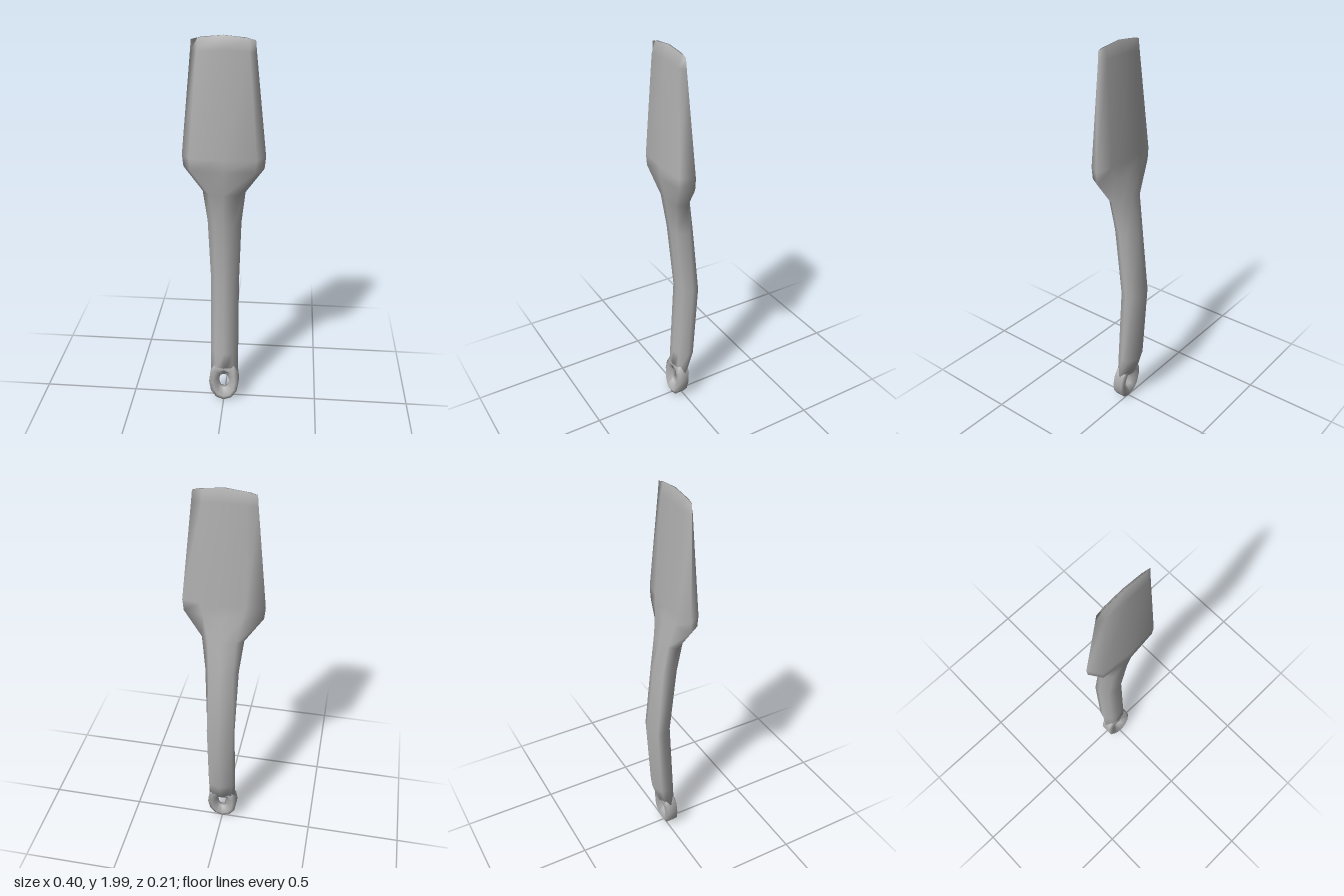
import * as THREE from 'three';

// Skins a list of closed rings of [x, y, z] points with smooth normals.
function skin(rings, closed) {
  const n = rings[0].length, m = rings.length, index = [];
  for (let i = 0; i < (closed ? m : m - 1); i++) {
    for (let j = 0; j < n; j++) {
      const k = (j + 1) % n, up = ((i + 1) % m) * n;
      const a = i * n + j, b = i * n + k, c = up + k, d = up + j;
      index.push(a, b, c, a, c, d);
    }
  }
  if (!closed) {
    const top = (m - 1) * n;
    for (let j = 1; j < n - 1; j++) index.push(0, j + 1, j, top, top + j, top + j + 1);
  }
  const geo = new THREE.BufferGeometry();
  geo.setAttribute('position', new THREE.Float32BufferAttribute(rings.flat(2), 3));
  geo.setIndex(index);
  geo.computeVertexNormals();
  return geo;
}

// Mirrored eight-point section: front middle, front shoulder, edge, back shoulder, back middle.
function section([y, front, fx, fz, w, ez, bx, bz, back, drop = 0]) {
  const half = [[fx, fz], [w, ez], [bx, bz]];
  const loop = [[0, front], ...half, [0, back], ...half.slice().reverse().map(([x, z]) => [-x, z])];
  return loop.map(([x, z]) => [x, y - drop * (x / w) ** 2, z]);
}

export function createModel() {
  const group = new THREE.Group();
  group.name = 'spatula';
  const grey = new THREE.MeshStandardMaterial({ color: 0xb0b0b0 });
  grey.name = 'grey';
  const add = (name, geo) => {
    const mesh = new THREE.Mesh(geo, grey);
    mesh.name = name;
    group.add(mesh);
  };

  // Curved handle flowing into the wide, thinning blade
  const rows = [
    [0.18, 0.042, 0.045, 0.036, 0.074, 0.003, 0.053, -0.02, -0.031],
    [0.30, 0.037, 0.045, 0.030, 0.074, -0.015, 0.064, -0.05, -0.074],
    [0.71, 0.016, 0.045, 0.008, 0.073, -0.040, 0.068, -0.075, -0.105],
    [1.07, 0.050, 0.050, 0.043, 0.085, -0.010, 0.062, -0.042, -0.063],
    [1.24, 0.077, 0.070, 0.063, 0.105, 0.015, 0.070, -0.018, -0.028],
    [1.37, 0.105, 0.155, 0.090, 0.195, 0.030, 0.095, 0.002, -0.003],
    [1.43, 0.105, 0.160, 0.092, 0.201, 0.030, 0.110, 0.012, 0.005],
    [1.94, 0.078, 0.118, 0.073, 0.150, 0.050, 0.100, 0.037, 0.032, 0.015],
    [2.00, 0.056, 0.115, 0.055, 0.145, 0.052, 0.100, 0.049, 0.048, 0.02],
  ];
  add('handleAndBlade', skin(rows.map(section), false));

  // Hanging loop: a flattened ring dished towards its slot
  const profile = [[0, -0.7], [0, 0.7], [0.4, 1], [1, 0.3], [1, -0.3], [0.4, -1]];
  const steps = 12, rings = [];
  for (let i = 0; i < steps; i++) {
    const t = -i / steps * Math.PI * 2, c = Math.cos(t), s = Math.sin(t);
    const fullness = s > 0.01 ? 0.6 : 1;
    const ox = 0.081 * Math.sign(c) * Math.abs(c) ** fullness, oy = 0.12 + 0.11 * s;
    const ix = 0.027 * Math.sign(c) * Math.abs(c) ** 0.6, iy = 0.118 + 0.043 * s;
    rings.push(profile.map(([u, side]) => {
      const y = oy + (iy - oy) * u;
      return [ox + (ix - ox) * u, y, 0.024 - 0.09 * y + 0.038 * side];
    }));
  }
  add('hangingLoop', skin(rings, true));

  // Stand on the ground
  group.children.forEach((mesh) => mesh.geometry.computeBoundingBox());
  return group;
}
